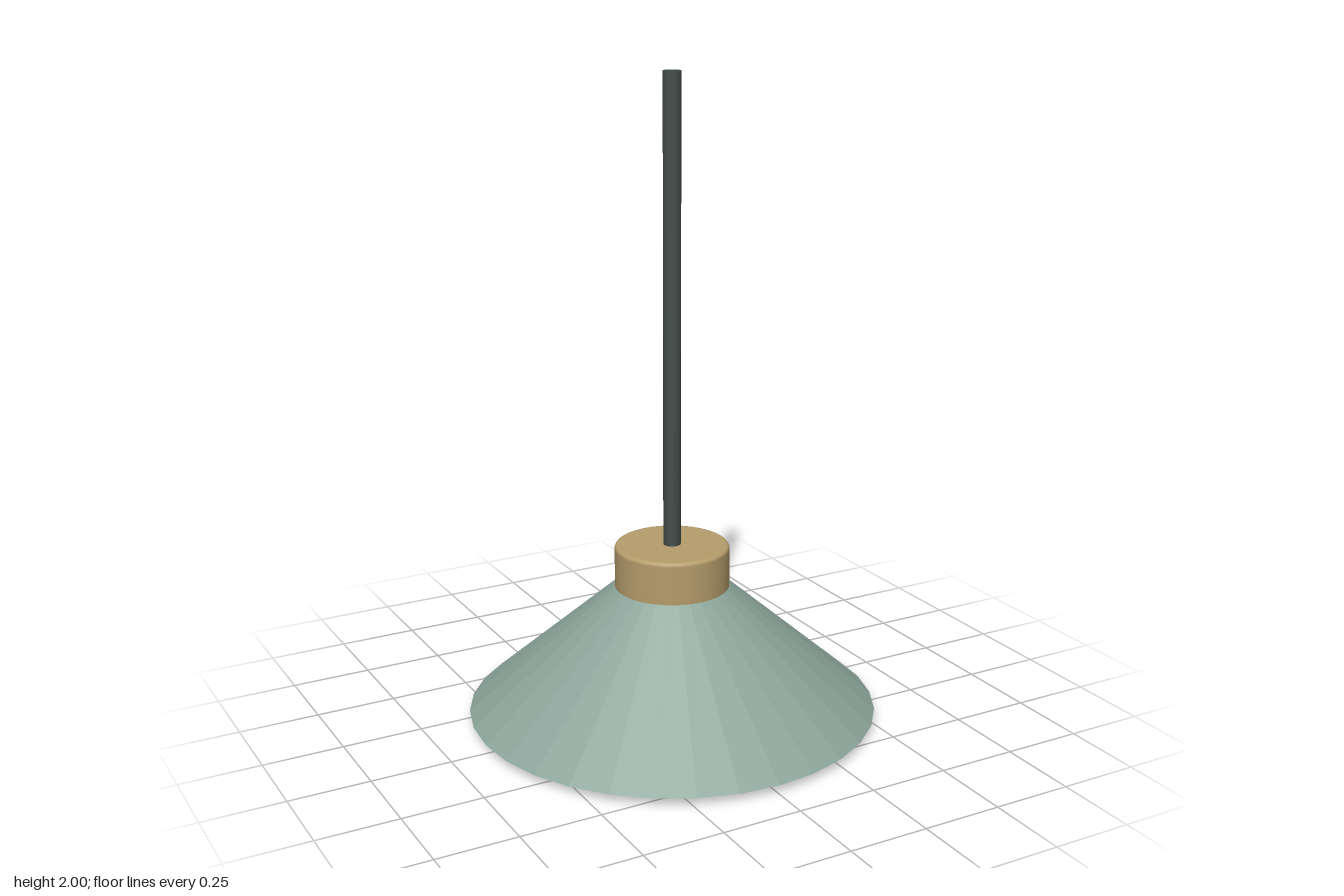
import * as THREE from 'three';

const material = (color, flatShading = false) => {
  const m = new THREE.MeshStandardMaterial({ flatShading });
  m.color.set(color);
  return m;
};

// Point list [radius, height] to a lathe profile
const profile = (pts) => pts.map(([r, y]) => new THREE.Vector2(r, y));

export function createModel() {
  const group = new THREE.Group();
  const add = (name, geometry, mat, y = 0) => {
    const mesh = new THREE.Mesh(geometry, mat);
    mesh.name = name;
    mesh.position.y = y;
    group.add(mesh);
    return mesh;
  };

  const rimY = 0.027, rimR = 0.638, neckY = 0.425, collarR = 0.178, topY = 0.558;

  // Faceted conical shade, closed underneath
  add('shade', new THREE.CylinderGeometry(collarR, rimR, neckY - rimY, 32),
    material(0x8ca59b, true), (neckY + rimY) / 2);

  // Wooden collar with a rounded top edge; repeated points keep the flat faces crisp
  const bevel = 0.012;
  const edge = [];
  for (let i = 0; i <= 4; i++) {
    const a = (i / 4) * Math.PI / 2;
    edge.push([collarR - bevel + bevel * Math.cos(a), topY - bevel + bevel * Math.sin(a)]);
  }
  add('collar', new THREE.LatheGeometry(profile([
    [0, neckY], [collarR, neckY], [collarR, neckY], [collarR, neckY + 0.01],
    ...edge, [collarR - bevel - 0.002, topY], [0, topY],
  ]), 48), material(0xb59c6a));

  // Hanging rod
  add('rod', new THREE.CylinderGeometry(0.027, 0.027, 2 - topY + 0.02, 24),
    material(0x434e4b), (2 + topY - 0.02) / 2);

  // Shallow domed diffuser bulging below the shade
  const dome = [];
  for (let i = 0; i <= 10; i++) {
    const t = i / 10;
    dome.push([0.416 * t, rimY * t * t]);
  }
  add('diffuser', new THREE.LatheGeometry(profile(dome), 48), material(0xf2e2ca));

  return group;
}
